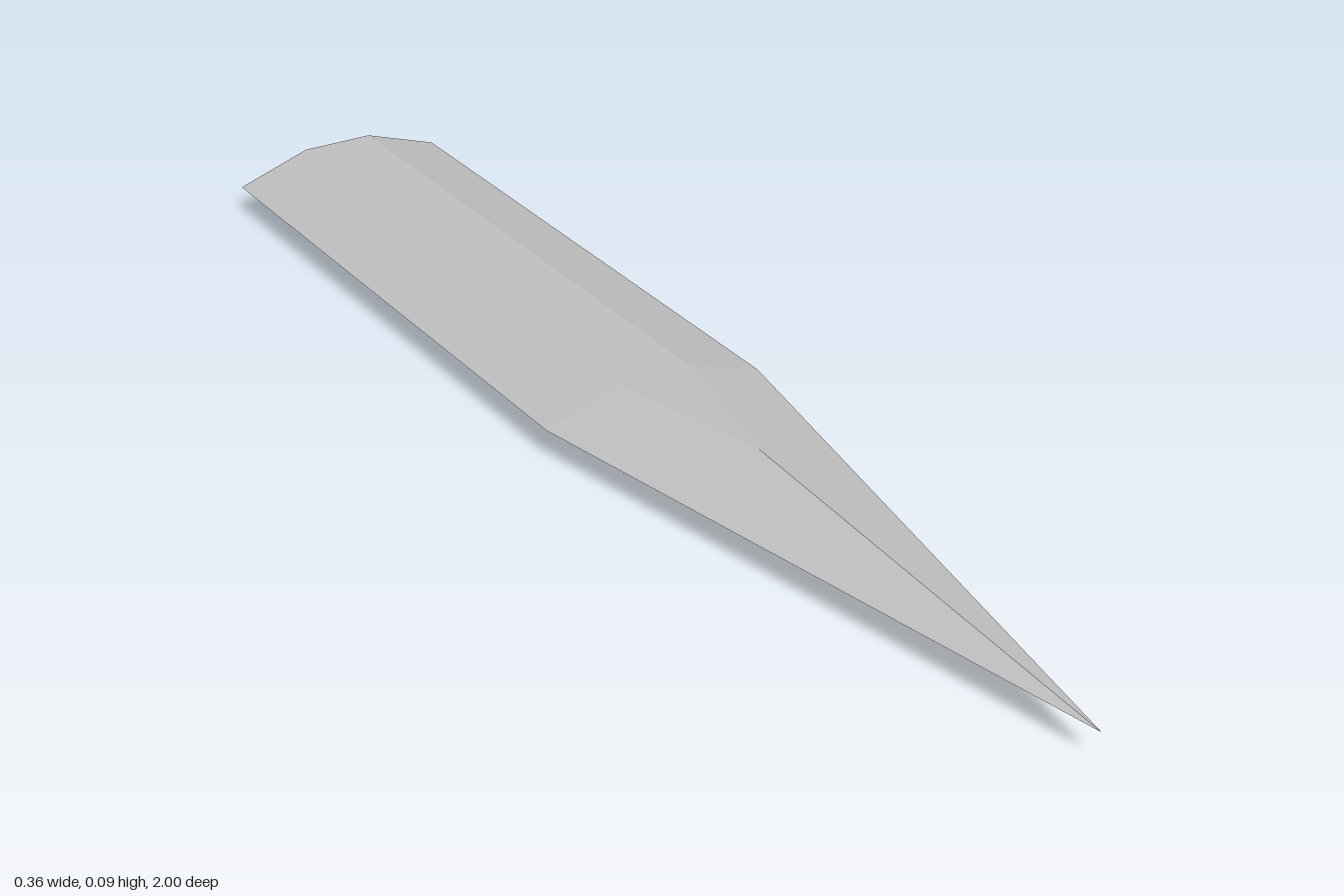
import * as THREE from 'three';

const MID = 0.0435; // height of the cutting edges
const HALF = 0.178, FLAT = 0.0585, THICK = 0.04;

// Quarter profile of the bar at depth z: edge, bevel corner, middle, core
const ring = (z) => ({
  edge: [HALF, 0, z], bevel: [FLAT, THICK, z], mid: [0, THICK, z], core: [0, 0, z],
});

// Mirrors quads and triangles of one quarter into all four quarters
function mirroredMesh(name, faces, material) {
  const positions = [];
  for (const sx of [1, -1]) for (const sy of [1, -1]) {
    for (const face of faces) {
      const p = face.map(([x, y, z]) => [x * sx, y * sy + MID, z]);
      if (sx * sy < 0) p.reverse();
      for (let i = 1; i < p.length - 1; i++) positions.push(...p[0], ...p[i], ...p[i + 1]);
    }
  }
  const geometry = new THREE.BufferGeometry();
  geometry.setAttribute('position', new THREE.Float32BufferAttribute(positions, 3));
  geometry.computeVertexNormals();
  const mesh = new THREE.Mesh(geometry, material);
  mesh.name = name;
  return mesh;
}

export function createModel() {
  const steel = new THREE.MeshStandardMaterial({ color: 0xc0c0c0 });
  steel.name = 'steel grey';
  const back = ring(-1), front = ring(0);
  const apex = [0, 0, 1], ridge = [0, MID, 0.27];

  const group = new THREE.Group();
  group.name = 'blade';

  // Straight bar: bevels, flats and closed rear end
  group.add(mirroredMesh('bladeBody', [
    [front.edge, back.edge, back.bevel, front.bevel],
    [front.bevel, back.bevel, back.mid, front.mid],
    [back.edge, back.core, back.mid, back.bevel],
  ], steel));

  // Tapered point: long bevels meeting on a ridge, and the end of the flat
  group.add(mirroredMesh('bladeTip', [
    [front.edge, front.bevel, ridge, apex],
    [front.mid, ridge, front.bevel],
  ], steel));

  return group;
}
